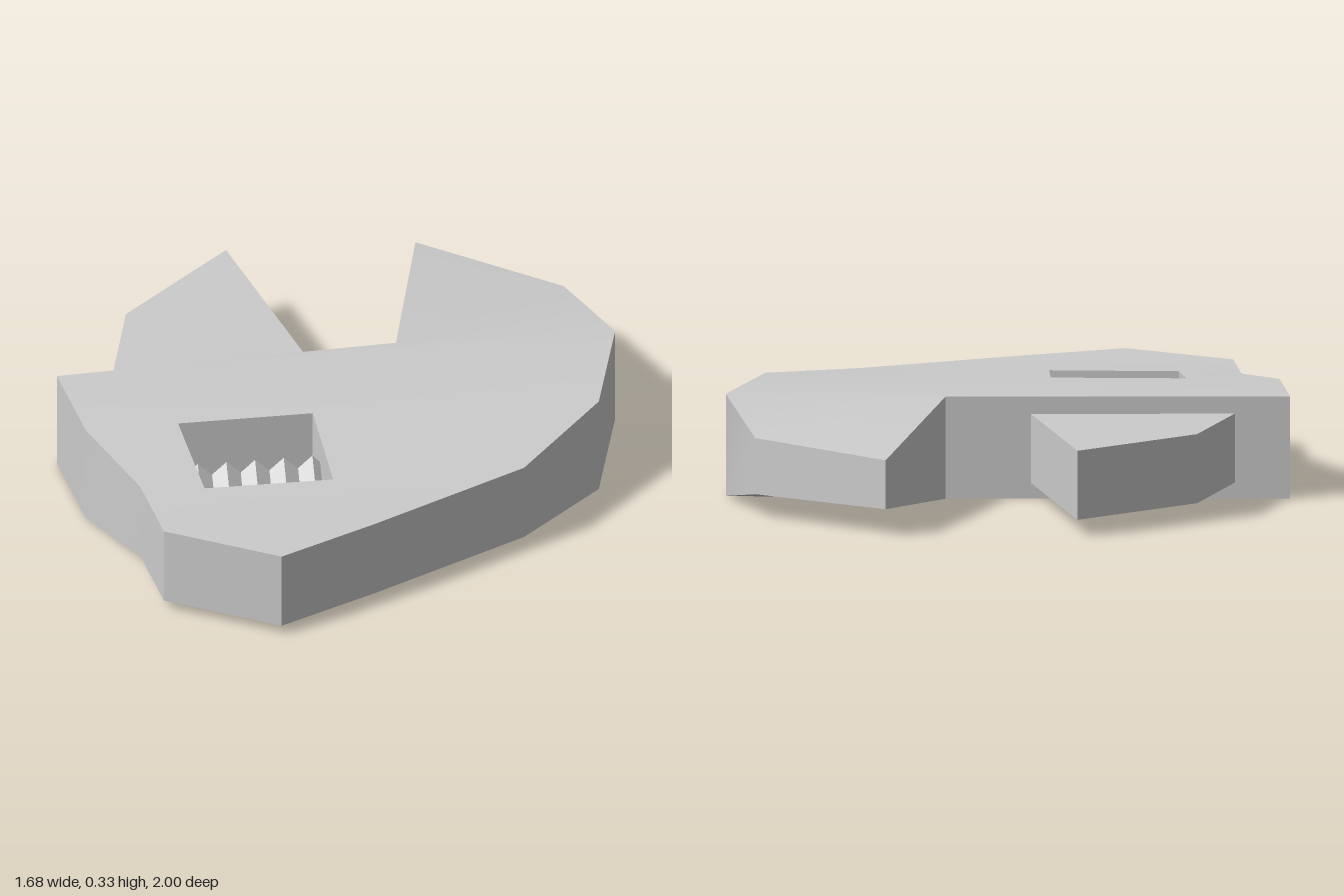
import * as THREE from 'three';
import { toCreasedNormals } from 'three/addons/utils/BufferGeometryUtils.js';

const MID = 0.167;
const FULL = 0.167, THIN = 0.132;

// Solid mirrored about the mid height. points: [x, z, half thickness]; regions: polygons
// of point indices. Edges used by one region only become vertical walls.
function slab(points, regions) {
  const pos = [];
  const edges = new Map();
  const put = (i, side) => pos.push(points[i][0], MID + side * points[i][2], points[i][1]);
  for (const region of regions) {
    const flat = region.map(i => new THREE.Vector2(points[i][0], -points[i][1]));
    for (const tri of THREE.ShapeUtils.triangulateShape(flat, [])) {
      let [a, b, c] = tri;
      if (THREE.ShapeUtils.area([flat[a], flat[b], flat[c]]) < 0) [b, c] = [c, b];
      const t = [region[a], region[b], region[c]];
      t.forEach(i => put(i, 1));
      [t[0], t[2], t[1]].forEach(i => put(i, -1));
      t.forEach((p, k) => edges.set(`${p},${t[(k + 1) % 3]}`, [p, t[(k + 1) % 3]]));
    }
  }
  for (const [a, b] of edges.values()) {
    if (edges.has(`${b},${a}`)) continue;
    put(a, -1); put(b, -1); put(b, 1);
    put(a, -1); put(b, 1); put(a, 1);
  }
  const geo = new THREE.BufferGeometry();
  geo.setAttribute('position', new THREE.Float32BufferAttribute(pos, 3));
  return toCreasedNormals(geo, 0.6);
}

export function createModel() {
  const group = new THREE.Group();
  const grey = new THREE.MeshStandardMaterial({ color: 0xcccccc });
  const add = (name, geo, material = grey) => {
    const mesh = new THREE.Mesh(geo, material);
    mesh.name = name;
    group.add(mesh);
    return mesh;
  };

  // Wrench head with tapered fixed jaw, thin neck and a slot for the screw
  const head = [
    [-0.12, -1.0, 0.08], [0.43, -0.915, 0.092],                       // 0-1 jaw tip
    [0.73, -0.615, FULL], [0.84, -0.2, FULL],                         // 2-3 back
    [0.745, 0.21, THIN], [0.425, 0.705, THIN], [0.22, 1, THIN],       // 4-6 neck, left side
    [-0.19, 1, THIN], [-0.36, 0.78, THIN],                            // 7-8 neck, right side
    [-0.63, 0.58, FULL], [-0.84, 0.31, FULL], [0.1, -0.285, FULL],    // 9-11 guide edge
    [-0.37, 0.43, FULL], [0.01, 0.21, FULL],                          // 12-13 slot, thick edge
    [0.2, 0.505, THIN], [-0.165, 0.71, THIN],                         // 14-15 slot, thin edge
  ];
  add('head', slab(head, [
    [0, 1, 2, 11],                 // fixed jaw
    [11, 2, 3, 13, 12, 9, 10],     // thick middle
    [9, 12, 15, 8],                // slopes either side of the slot
    [13, 3, 4, 14],
    [8, 15, 14, 4, 5, 6, 7],       // neck
  ]));

  // Sliding jaw
  const h = 0.113;
  add('slidingJaw', slab(
    [[-0.65, -0.68, h], [-0.145, -0.155, h], [-0.695, 0.205, h], [-0.805, -0.2, h]],
    [[0, 1, 2, 3]]));

  // Four-sided adjusting screw with five ridges
  const pitch = 0.0934, teeth = 5, start = -pitch * (teeth - 1) / 2;
  const profile = [new THREE.Vector2(0, start - 0.025), new THREE.Vector2(0.085, start - 0.025)];
  for (let i = 0; i < teeth; i++) {
    profile.push(new THREE.Vector2(0.112, start + i * pitch));
    if (i < teeth - 1) profile.push(new THREE.Vector2(0.068, start + (i + 0.5) * pitch));
  }
  profile.push(new THREE.Vector2(0.085, -start + 0.025), new THREE.Vector2(0, -start + 0.025));
  const screwGeo = new THREE.LatheGeometry(profile, 4);
  screwGeo.rotateZ(-Math.PI / 2);
  const screw = add('adjustingScrew', screwGeo,
    new THREE.MeshStandardMaterial({ color: 0xcccccc, flatShading: true }));
  screw.rotation.y = Math.PI / 6;
  screw.position.set(-0.09, MID, 0.46);

  return group;
}
